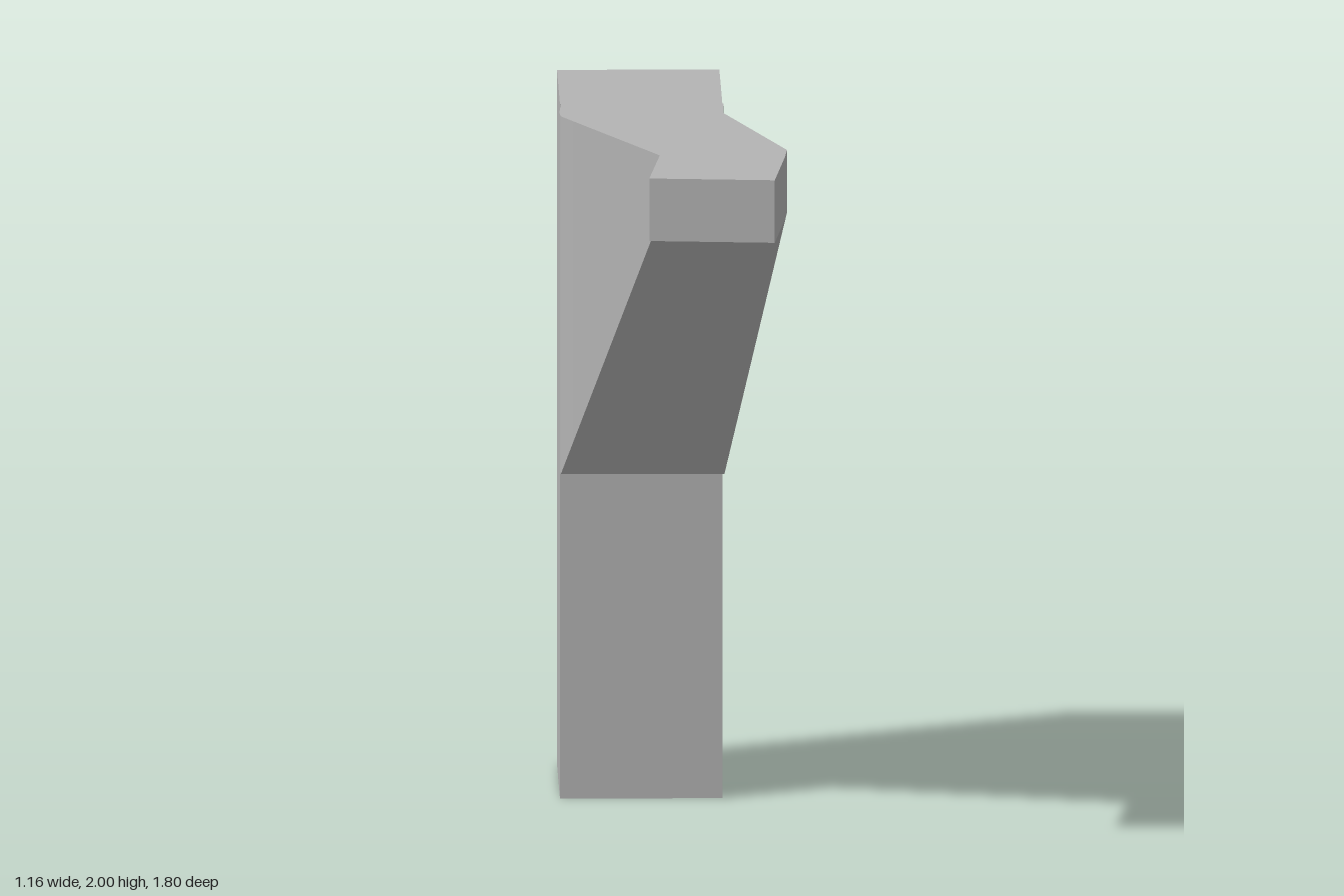
import * as THREE from 'three';
import { mergeGeometries, toCreasedNormals } from 'three/addons/utils/BufferGeometryUtils.js';
import { ConvexGeometry } from 'three/addons/geometries/ConvexGeometry.js';

const TOP = 2, LEDGE = 0.97, ARM = 1.82;

// upright points from [x, z] plan corners, between a bottom height and the top
const uprights = (corners, bottom) =>
  corners.flatMap(([x, z]) => [new THREE.Vector3(x, bottom, z), new THREE.Vector3(x, TOP, z)]);

// rectangle outline added to a shape or a path
function rect(path, x, y0, y1) {
  path.moveTo(-x, y0);
  path.lineTo(x, y0);
  path.lineTo(x, y1);
  path.lineTo(-x, y1);
  path.closePath();
  return path;
}

export function createModel() {
  const model = new THREE.Group();
  model.name = 'bracket';
  const grey = new THREE.MeshStandardMaterial({ color: 0xb4b4b4 });
  grey.name = 'grey';
  const add = (parent, name, geometry) => {
    const mesh = new THREE.Mesh(geometry, grey);
    mesh.name = name;
    parent.add(mesh);
  };

  // column, turned about y, with a deep slot in its back face
  const column = new THREE.Group();
  column.name = 'column';
  column.position.set(0.385, 0, -0.77);
  column.rotation.y = -0.593;
  model.add(column);
  const width = 0.46, length = 0.54, slotDepth = 0.32;
  const frame = rect(new THREE.Shape(), width / 2, 0, TOP);
  frame.holes.push(rect(new THREE.Path(), 0.13, 0.11, 1.74));
  add(column, 'slottedBack',
    new THREE.ExtrudeGeometry(frame, { depth: slotDepth, bevelEnabled: false }));
  const solid = new THREE.BoxGeometry(width, TOP, length - slotDepth);
  solid.translate(0, TOP / 2, (length + slotDepth) / 2);
  add(column, 'solidFront', solid);

  // plan corners of the overhang, from the column forward
  const neckLeft = [0.275, -0.19], neckRight = [-0.105, -0.45];
  const slabLeft = [0.19, -0.07], slabRight = [-0.19, -0.335];
  const ledgeLeft = [0.16, -0.02], ledgeRight = [-0.22, -0.285];
  const bendLeft = [0, 0.52];
  const armLeft = [-0.07, 0.61], armRight = [-0.345, 0.385];
  const tipLeft = [-0.305, 0.897], tipRight = [-0.58, 0.67];

  // neck, tapering web and arm, softly shaded across the shallow bends
  const pieces = [
    uprights([neckLeft, neckRight, slabLeft, slabRight], LEDGE),
    [...uprights([slabLeft, slabRight, ledgeLeft, ledgeRight], LEDGE),
      ...uprights([bendLeft, armLeft, armRight], ARM)],
    uprights([armLeft, armRight, tipLeft, tipRight], ARM),
  ].map((points) => new ConvexGeometry(points));
  add(model, 'overhangingArm', toCreasedNormals(mergeGeometries(pieces), 0.55));

  return model;
}
